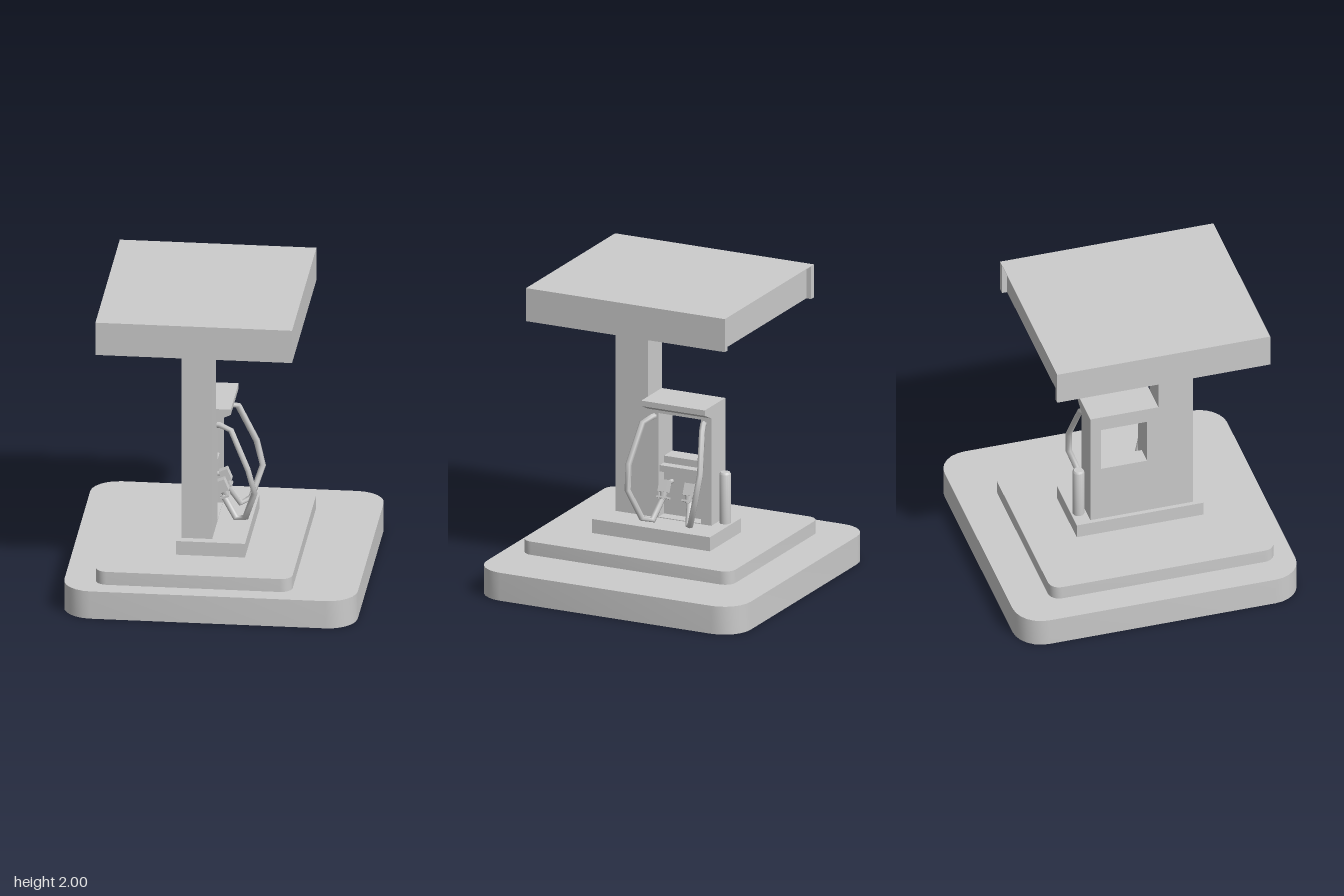
import * as THREE from 'three';
import { toCreasedNormals } from 'three/addons/utils/BufferGeometryUtils.js';

const grey = new THREE.MeshStandardMaterial({ color: 0xcccccc });
const greyDouble = new THREE.MeshStandardMaterial({ color: 0xcccccc, side: THREE.DoubleSide });

function mesh(parent, name, geometry, material = grey) {
  const m = new THREE.Mesh(geometry, material);
  m.name = name;
  parent.add(m);
  return m;
}

// Box given by its limits on each axis
function box(parent, name, [x0, x1], [y0, y1], [z0, z1]) {
  const m = mesh(parent, name, new THREE.BoxGeometry(x1 - x0, y1 - y0, z1 - z0));
  m.position.set((x0 + x1) / 2, (y0 + y1) / 2, (z0 + z1) / 2);
  return m;
}

function polygon(points) {
  return new THREE.Shape(points.map(([x, y]) => new THREE.Vector2(x, y)));
}

function rect(x0, x1, y0, y1) {
  return polygon([[x0, y0], [x1, y0], [x1, y1], [x0, y1]]);
}

function roundedRect(x0, x1, y0, y1, r) {
  const s = new THREE.Shape();
  const q = Math.PI / 2;
  s.absarc(x1 - r, y0 + r, r, -q, 0);
  s.absarc(x1 - r, y1 - r, r, 0, q);
  s.absarc(x0 + r, y1 - r, r, q, 2 * q);
  s.absarc(x0 + r, y0 + r, r, 2 * q, 3 * q);
  s.closePath();
  return s;
}

function extrude(shape, depth) {
  return new THREE.ExtrudeGeometry(shape, { depth, bevelEnabled: false, curveSegments: 3 });
}

// Plan shape (x, -z) raised from y0 to y1
function slab(shape, y0, y1) {
  return extrude(shape, y1 - y0).rotateX(-Math.PI / 2).translate(0, y0, 0);
}

// Side shape (-z, y) extended from x0 to x1
function sidePlate(shape, x0, x1) {
  return extrude(shape, x1 - x0).rotateY(Math.PI / 2).translate(x0, 0, 0);
}

// Drop the lower cap of an extrusion, leaving it open underneath
function openBelow(geometry) {
  const skip = geometry.groups[0].count / 2;
  const open = new THREE.BufferGeometry();
  open.setAttribute('position', new THREE.BufferAttribute(geometry.attributes.position.array.slice(skip * 3), 3));
  open.computeVertexNormals();
  return open;
}

// Straight-segment path whose tube rings sit exactly on the given points
class Polyline extends THREE.Curve {
  constructor(points) {
    super();
    this.points = points;
  }
  getPoint(t, target = new THREE.Vector3()) {
    const n = this.points.length - 1;
    const i = Math.min(Math.floor(t * n + 1e-9), n - 1);
    return target.lerpVectors(this.points[i], this.points[i + 1], t * n - i);
  }
  getPointAt(t, target) { return this.getPoint(t, target); }
  getTangentAt(t, target) { return this.getTangent(t, target); }
}

export function createModel() {
  const model = new THREE.Group();
  model.name = 'fuelStation';

  // Stepped island
  mesh(model, 'groundSlab',
    toCreasedNormals(openBelow(slab(roundedRect(-0.955, 0.955, -0.955, 0.955, 0.19), 0, 0.19)), 0.6), greyDouble);
  mesh(model, 'upperSlab',
    toCreasedNormals(slab(roundedRect(-0.75, 0.53, -0.83, 0.69, 0.075), 0.19, 0.28), 0.6));
  box(model, 'plinth', [-0.26, 0.19], [0.28, 0.375], [-0.37, 0.485]);

  // Roof with a shallow recess along its back edge, under a thin top sheet
  const roof = new THREE.Group();
  roof.name = 'roof';
  model.add(roof);
  mesh(roof, 'roofBlock', slab(polygon([
    [-0.75, -0.79], [0.53, -0.79], [0.53, 0.65], [0.49, 0.65],
    [0.49, 0.615], [-0.71, 0.615], [-0.71, 0.65], [-0.75, 0.65],
  ]), 1.775, 1.998));
  mesh(roof, 'roofSheet', slab(rect(-0.75, 0.53, -0.79, 0.65), 1.997, 2));

  // Support column
  box(model, 'column', [-0.23, -0.03], [0.375, 1.775], [0.19, 0.425]);

  // Pump cabinet: a window goes right through, a recess holds the nozzles
  const cabinet = new THREE.Group();
  cabinet.name = 'pumpCabinet';
  model.add(cabinet);
  const layers = [['cabinetBack', 0.773, -0.23, -0.11], ['cabinetFront', 0.38, -0.11, -0.03]];
  for (const [name, holeBottom, x0, x1] of layers) {
    const side = rect(-0.19, 0.27, 0.375, 1.187);
    side.holes.push(rect(-0.114, 0.196, holeBottom, 1.086));
    mesh(cabinet, name, sidePlate(side, x0, x1));
  }
  box(cabinet, 'nozzleShelf', [-0.11, -0.05], [0.683, 0.726], [-0.196, 0.114]);

  // Sloping hood over the window
  const hood = polygon([[-0.03, 1.105], [0.065, 1.15], [0.065, 1.187], [-0.03, 1.187]]);
  mesh(cabinet, 'hood', extrude(hood, 0.46).translate(0, 0, -0.27));

  // Hoses and nozzles, mirrored about the middle of the cabinet
  const hosePoints = [
    [-0.05, 1.06, 0.175], [-0.01, 1.06, 0.185], [0.065, 1.04, 0.215], [0.18, 0.785, 0.258],
    [0.222, 0.62, 0.245], [0.155, 0.42, 0.175], [0.09, 0.395, 0.13], [0.0, 0.54, 0.095],
  ];
  const middle = -0.035;
  for (const s of [1, -1]) {
    const set = new THREE.Group();
    set.name = s > 0 ? 'frontHoseSet' : 'backHoseSet';
    set.position.z = middle;
    model.add(set);

    const path = new Polyline(hosePoints.map(([x, y, z]) => new THREE.Vector3(x, y, z * s)));
    mesh(set, 'hose', new THREE.TubeGeometry(path, hosePoints.length - 1, 0.021, 6));

    const nozzle = new THREE.Group();
    nozzle.name = 'nozzle';
    nozzle.position.set(0, 0.595, 0.091 * s);
    nozzle.rotation.z = 0.4;
    set.add(nozzle);
    mesh(nozzle, 'nozzleBody', new THREE.BoxGeometry(0.06, 0.08, 0.06)).position.set(0.002, 0.012, 0);
    mesh(nozzle, 'nozzleNeck', new THREE.CylinderGeometry(0.028, 0.018, 0.05, 8)).position.set(-0.005, -0.05, 0);
    mesh(nozzle, 'collar', new THREE.BoxGeometry(0.06, 0.012, 0.075)).position.set(-0.012, -0.062, 0);
    const spout = mesh(nozzle, 'spout', new THREE.CylinderGeometry(0.015, 0.015, 0.09, 8));
    spout.position.set(-0.055, 0.04, 0);
    spout.rotation.z = 1.2;
  }

  // Bollard behind the cabinet
  const bollard = [[0.038, 0.375], [0.038, 0.708], [0.03, 0.72], [0, 0.72]].map(([r, y]) => new THREE.Vector2(r, y));
  mesh(model, 'bollard', toCreasedNormals(new THREE.LatheGeometry(bollard, 16), 0.6)).position.set(-0.13, 0, -0.32);

  return model;
}
